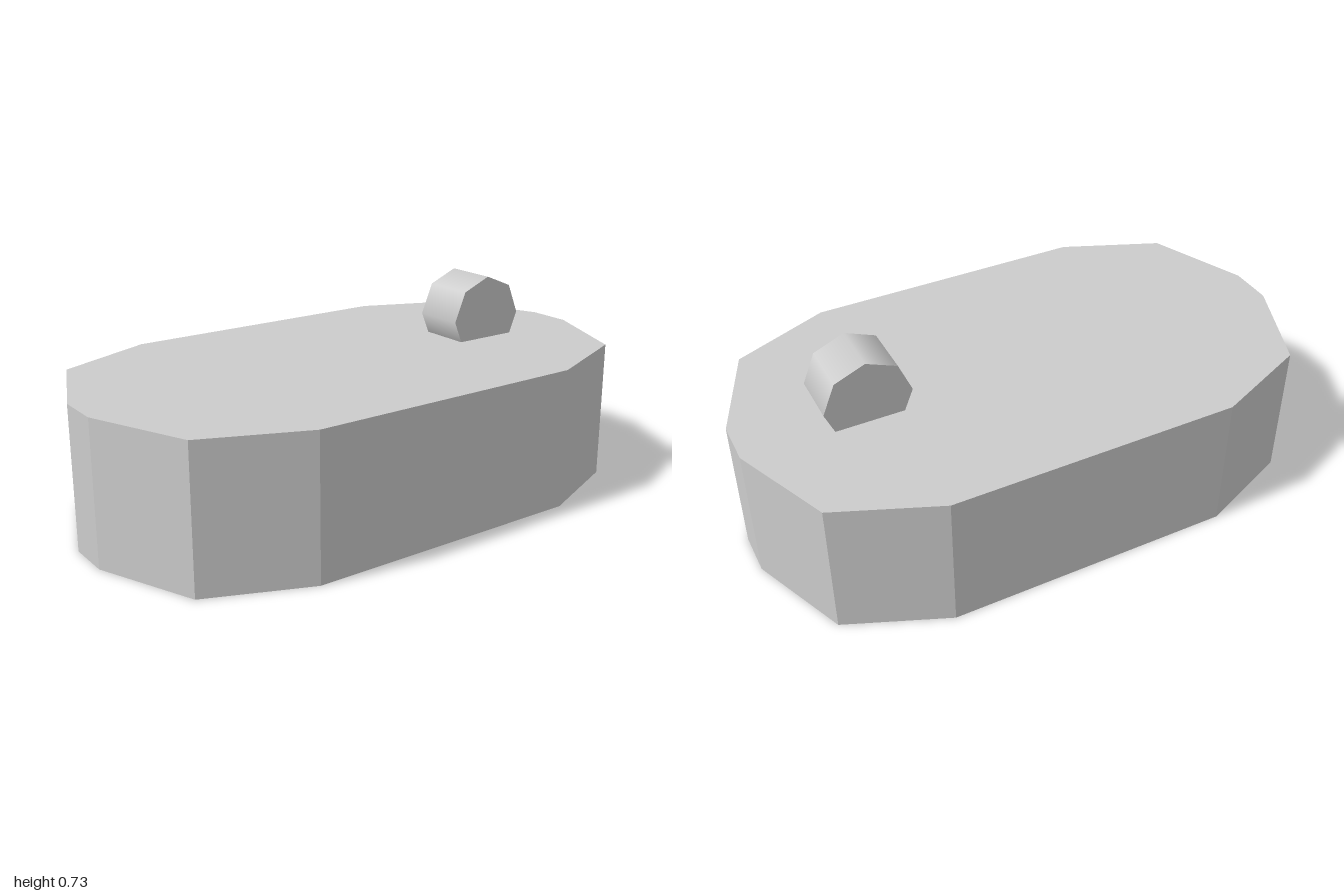
import * as THREE from 'three';

export function createModel() {
  const model = new THREE.Group();
  const grey = new THREE.MeshStandardMaterial({ color: 0xcccccc });
  grey.name = 'light grey';

  // Slab: one quarter of the outline, mirrored into a twelve-sided footprint
  const quarter = [[0.57, 0.507], [0.425, 0.855], [0.078, 1]];
  const flipped = [...quarter].reverse();
  const outline = [
    ...quarter,
    ...flipped.map(([x, z]) => [-x, z]),
    ...quarter.map(([x, z]) => [-x, -z]),
    ...flipped.map(([x, z]) => [x, -z]),
  ].map(([x, z]) => new THREE.Vector2(x, z));
  const slabGeometry = new THREE.ExtrudeGeometry(new THREE.Shape(outline), {
    depth: 0.497,
    bevelEnabled: false,
  });
  slabGeometry.rotateX(-Math.PI / 2);
  const slab = new THREE.Mesh(slabGeometry, grey);
  slab.name = 'slab';
  model.add(slab);

  // Peg: eight-sided smooth cylinder lying across the slab, partly sunk into it
  const pegGeometry = new THREE.CylinderGeometry(0.152, 0.152, 0.188, 8);
  pegGeometry.rotateZ(Math.PI / 2);
  const peg = new THREE.Mesh(pegGeometry, grey);
  peg.name = 'peg';
  peg.position.set(-0.001, 0.574, -0.573);
  model.add(peg);

  return model;
}
